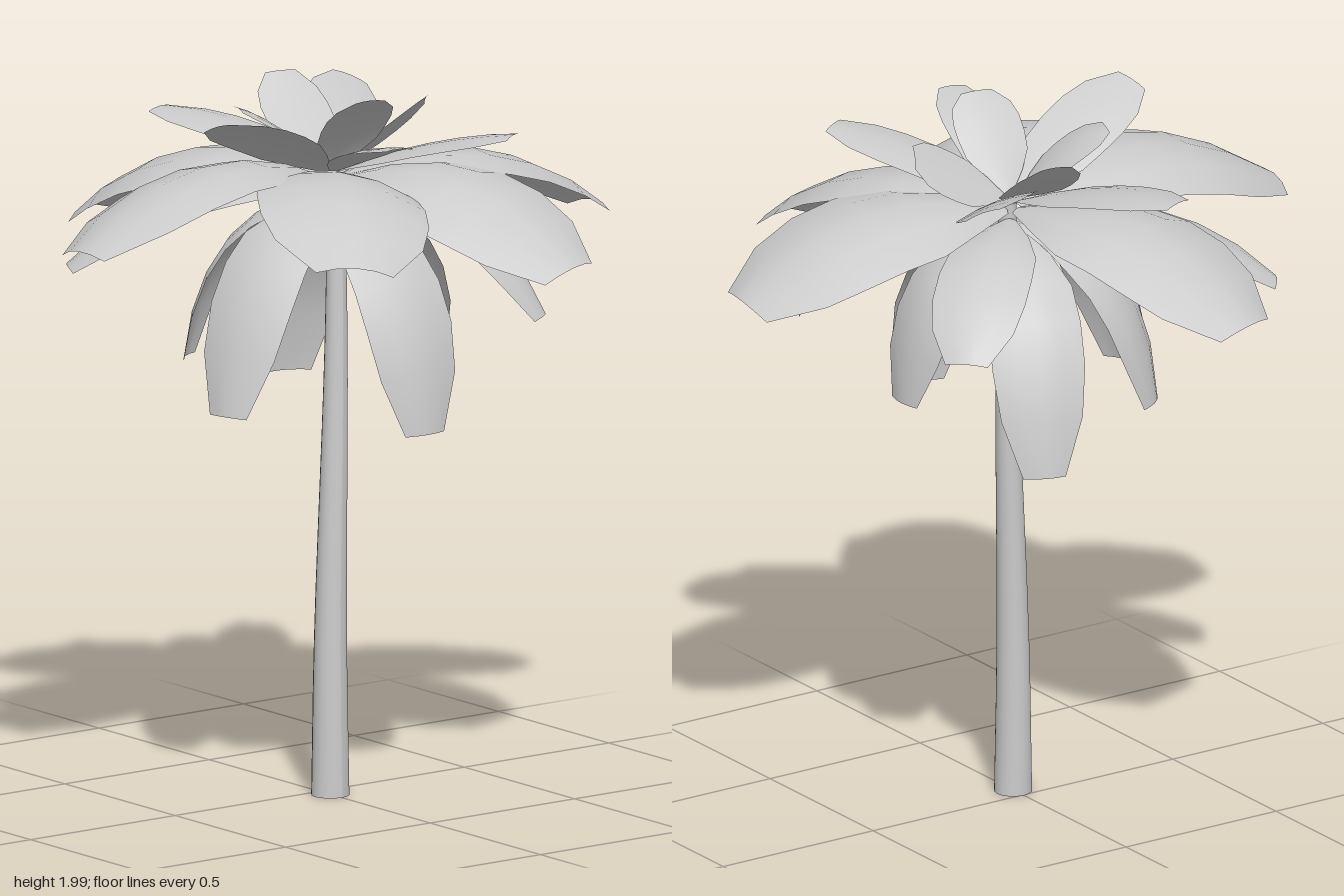
import * as THREE from 'three';

const material = new THREE.MeshStandardMaterial({ color: 0xcccccc, side: THREE.DoubleSide });

// Relative blade width from root to blunt tip
const OUTLINE = [0.12, 0.6, 0.93, 1, 1, 0.88, 0.46];
const COLUMNS = 4;

// Thin arched leaf: a bent midrib with a curved, rolled cross-section swept along it
function frond(name, rootY, arch, [x, y, z, width, reach, bendY, roll = 0]) {
  const cx = 0.03, cz = 0.01;
  const heading = new THREE.Vector3(x - cx, 0, z - cz).normalize();
  const level = new THREE.Vector3(-heading.z, 0, heading.x);
  const rib = new THREE.QuadraticBezierCurve3(
    new THREE.Vector3(cx, rootY, cz).addScaledVector(heading, 0.02),
    new THREE.Vector3(cx + (x - cx) * reach, bendY, cz + (z - cz) * reach),
    new THREE.Vector3(x, y, z));
  const rows = OUTLINE.length - 1;
  const positions = [], index = [];
  for (let i = 0; i <= rows; i++) {
    const p = rib.getPoint(i / rows);
    const tangent = rib.getTangent(i / rows);
    const side = level.clone().applyAxisAngle(tangent, -roll);
    const normal = side.clone().cross(tangent);
    const half = width / 2 * OUTLINE[i];
    for (let j = 0; j <= COLUMNS; j++) {
      const u = j / COLUMNS * 2 - 1;
      const v = p.clone().addScaledVector(side, u * half).addScaledVector(normal, -u * u * half * arch);
      positions.push(v.x, v.y, v.z);
      if (i < rows && j < COLUMNS) {
        const a = i * (COLUMNS + 1) + j, b = a + COLUMNS + 1;
        index.push(a, a + 1, b, a + 1, b + 1, b);
      }
    }
  }
  const geometry = new THREE.BufferGeometry();
  geometry.setAttribute('position', new THREE.Float32BufferAttribute(positions, 3));
  geometry.setIndex(index);
  geometry.computeVertexNormals();
  const mesh = new THREE.Mesh(geometry, material);
  mesh.name = name;
  return mesh;
}

// Each frond: tip x, y, z, width, bend position along its reach, bend height, roll
const TIERS = [
  { name: 'hangingFrond', rootY: 1.68, arch: 0.2, fronds: [
    [0.03, 1.08, 0.45, 0.29, 0.95, 1.6],
    [-0.44, 1.14, 0.15, 0.27, 0.8, 1.68],
    [0.4, 1.23, 0.01, 0.26, 0.9, 1.66],
    [0.2, 1.09, -0.4, 0.26, 0.92, 1.62],
    [-0.22, 1.2, -0.32, 0.25, 0.85, 1.66],
  ] },
  { name: 'lowerFrond', rootY: 1.7, arch: 0.22, fronds: [
    [0.41, 1.37, 0.48, 0.26, 0.7, 1.74],
    [0.48, 1.49, -0.42, 0.26, 0.65, 1.76],
    [-0.6, 1.5, -0.36, 0.28, 0.6, 1.78],
  ] },
  { name: 'largeFrond', rootY: 1.73, arch: 0.25, fronds: [
    [0.84, 1.58, 0.14, 0.47, 0.55, 1.88, 0.12],
    [-0.85, 1.64, 0.02, 0.45, 0.5, 1.95, -0.12],
    [-0.25, 1.55, -0.74, 0.49, 0.58, 1.88],
    [-0.4, 1.65, 0.69, 0.47, 0.52, 1.92, 0.12],
    [0.32, 1.56, 0.73, 0.47, 0.55, 1.88, -0.15],
  ] },
  { name: 'upperFrond', rootY: 1.75, arch: 0.12, fronds: [
    [-0.16, 1.86, -0.52, 0.22, 0.5, 1.86],
    [0.39, 1.9, -0.37, 0.22, 0.5, 1.86, -0.4],
    [-0.46, 1.96, 0.14, 0.21, 0.5, 1.9, -0.35],
    [-0.1, 1.91, 0.49, 0.17, 0.5, 1.88],
    [0.31, 1.89, 0.47, 0.22, 0.5, 1.86],
  ] },
  { name: 'crownFrond', rootY: 1.76, arch: 0.1, fronds: [
    [0.11, 1.96, -0.32, 0.2, 0.6, 1.85],
    [0.32, 1.92, 0.06, 0.18, 0.6, 1.85, 0.6],
    [-0.01, 1.99, 0.24, 0.2, 0.55, 1.92],
    [-0.22, 1.94, -0.08, 0.19, 0.55, 1.9],
  ] },
];

// Tapered trunk with a gentle bend, open at the foot
function trunk() {
  const height = 1.74;
  const geometry = new THREE.CylinderGeometry(0.024, 0.053, height, 16, 12, true);
  geometry.translate(0, height / 2, 0);
  const p = geometry.attributes.position;
  for (let i = 0; i < p.count; i++) {
    const t = p.getY(i) / height;
    p.setX(i, p.getX(i) + 0.035 * THREE.MathUtils.smoothstep(t, 0.15, 0.9));
    p.setZ(i, p.getZ(i) + 0.048 - 0.025 * t * t);
  }
  geometry.computeVertexNormals();
  const mesh = new THREE.Mesh(geometry, material);
  mesh.name = 'trunk';
  return mesh;
}

export function createModel() {
  const model = new THREE.Group();
  model.name = 'palmTree';
  model.add(trunk());
  for (const tier of TIERS) {
    const group = new THREE.Group();
    group.name = tier.name + 's';
    tier.fronds.forEach(f => group.add(frond(tier.name, tier.rootY, tier.arch, f)));
    model.add(group);
  }
  return model;
}
